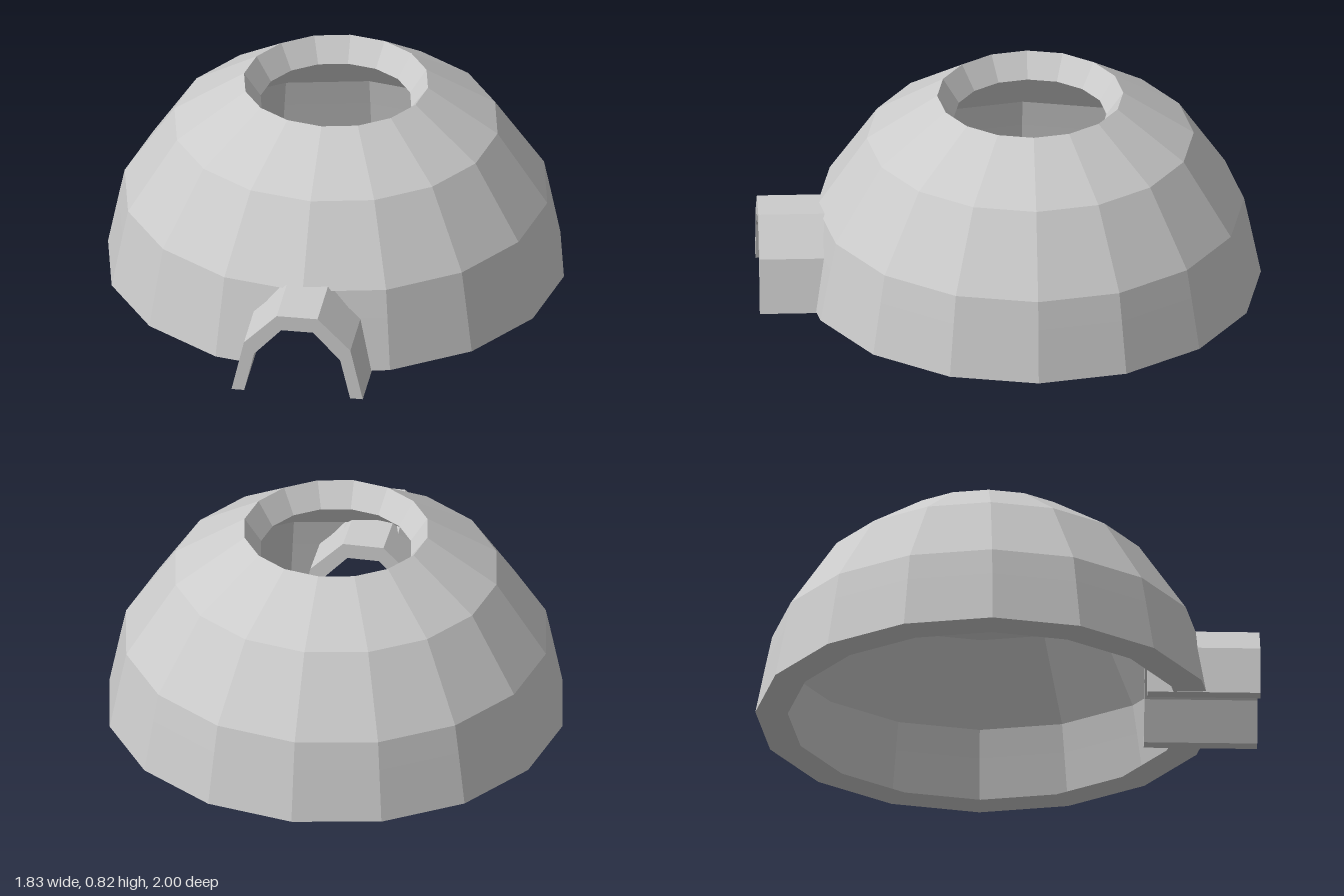
import * as THREE from 'three';

const SIDES = 16, CENTRE_Z = -0.085, DOOR_X = 0.015;
// Thin wall profile as [radius, height], from the ground up to the roof opening
const WALL = [[0.917, 0.005], [0.874, 0.22], [0.85, 0.335], [0.65, 0.635], [0.37, 0.82]];
// Inner edges of the flanges that line the foot, the doorway and the roof opening
const FLANGE = [[0.788, 0], [0.757, 0.2], [0.739, 0.295]];
const RIM = [0.303, 0.725];
// Half width of the doorway at the lowest three rings
const DOOR = [0.25, 0.203, 0.11];

const material = (side) => new THREE.MeshStandardMaterial({ color: 0xcccccc, flatShading: true, side });

// Corner of a ring at side i
function corner([r, y], i) {
  const a = (i / SIDES) * Math.PI * 2;
  return [r * Math.sin(a), y, CENTRE_Z + r * Math.cos(a)];
}

// Point on the doorway edge of ring k, lying in the flat front panel
function doorEdge(rings, k, side) {
  const [r, y] = rings[k], x = DOOR_X + side * DOOR[k];
  return [x, y, CENTRE_Z + r - Math.abs(x) * Math.tan(Math.PI / SIDES)];
}

function quadMesh(name, quads) {
  const pos = quads.flatMap(([a, b, c, d]) => [...a, ...b, ...c, ...a, ...c, ...d]);
  const geometry = new THREE.BufferGeometry();
  geometry.setAttribute('position', new THREE.Float32BufferAttribute(pos, 3));
  geometry.computeVertexNormals();
  const mesh = new THREE.Mesh(geometry, material(THREE.DoubleSide));
  mesh.name = name;
  return mesh;
}

function createDome() {
  const wall = [], foot = [], rim = [], doorFrame = [];
  const top = WALL.length - 1;

  for (let i = 0; i < SIDES; i++) {
    // The two front panels stop at the doorway instead of meeting in the middle
    const start = (rings, k, cut) => (cut && i === 0 ? doorEdge(rings, k, 1) : corner(rings[k], i));
    const end = (rings, k, cut) => (cut && i === SIDES - 1 ? doorEdge(rings, k, -1) : corner(rings[k], i + 1));

    for (let k = 0; k < top; k++) {
      const cut = k < 2;
      wall.push([start(WALL, k, cut), end(WALL, k, cut), end(WALL, k + 1, cut), start(WALL, k + 1, cut)]);
    }
    foot.push([start(WALL, 0, true), start(FLANGE, 0, true), end(FLANGE, 0, true), end(WALL, 0, true)]);
    rim.push([corner(WALL[top], i), corner(WALL[top], i + 1), corner(RIM, i + 1), corner(RIM, i)]);
  }

  // Door jambs, then the lintel in two halves
  for (let k = 0; k < 2; k++) {
    doorFrame.push(
      [doorEdge(WALL, k, 1), doorEdge(WALL, k + 1, 1), doorEdge(FLANGE, k + 1, 1), doorEdge(FLANGE, k, 1)],
      [doorEdge(WALL, k, -1), doorEdge(FLANGE, k, -1), doorEdge(FLANGE, k + 1, -1), doorEdge(WALL, k + 1, -1)],
    );
  }
  const o = corner(WALL[2], 0), n = corner(FLANGE[2], 0);
  doorFrame.push(
    [o, n, doorEdge(FLANGE, 2, 1), doorEdge(WALL, 2, 1)],
    [doorEdge(WALL, 2, -1), doorEdge(FLANGE, 2, -1), n, o],
  );

  const dome = new THREE.Group();
  dome.name = 'dome';
  dome.add(
    quadMesh('domeWall', wall),
    quadMesh('footFlange', foot),
    quadMesh('roofRim', rim),
    quadMesh('doorFrame', doorFrame),
  );
  return dome;
}

// Faceted arch extruded towards the front
function createTunnel() {
  const outer = [[0.264, 0], [0.214, 0.218], [0.082, 0.35]];
  const inner = [[0.213, 0], [0.173, 0.17], [0.064, 0.287]];
  const mirror = ([x, y]) => [-x, y];
  const outline = [...outer, ...outer.map(mirror).reverse(), ...inner.map(mirror), ...inner.slice().reverse()];
  const shape = new THREE.Shape(outline.map(([x, y]) => new THREE.Vector2(x, y)));
  const geometry = new THREE.ExtrudeGeometry(shape, { depth: 0.45, bevelEnabled: false });
  const tunnel = new THREE.Mesh(geometry, material(THREE.FrontSide));
  tunnel.name = 'entranceTunnel';
  tunnel.position.set(DOOR_X, 0, 0.55);
  return tunnel;
}

export function createModel() {
  const model = new THREE.Group();
  model.name = 'domeHut';
  model.add(createDome(), createTunnel());
  return model;
}
